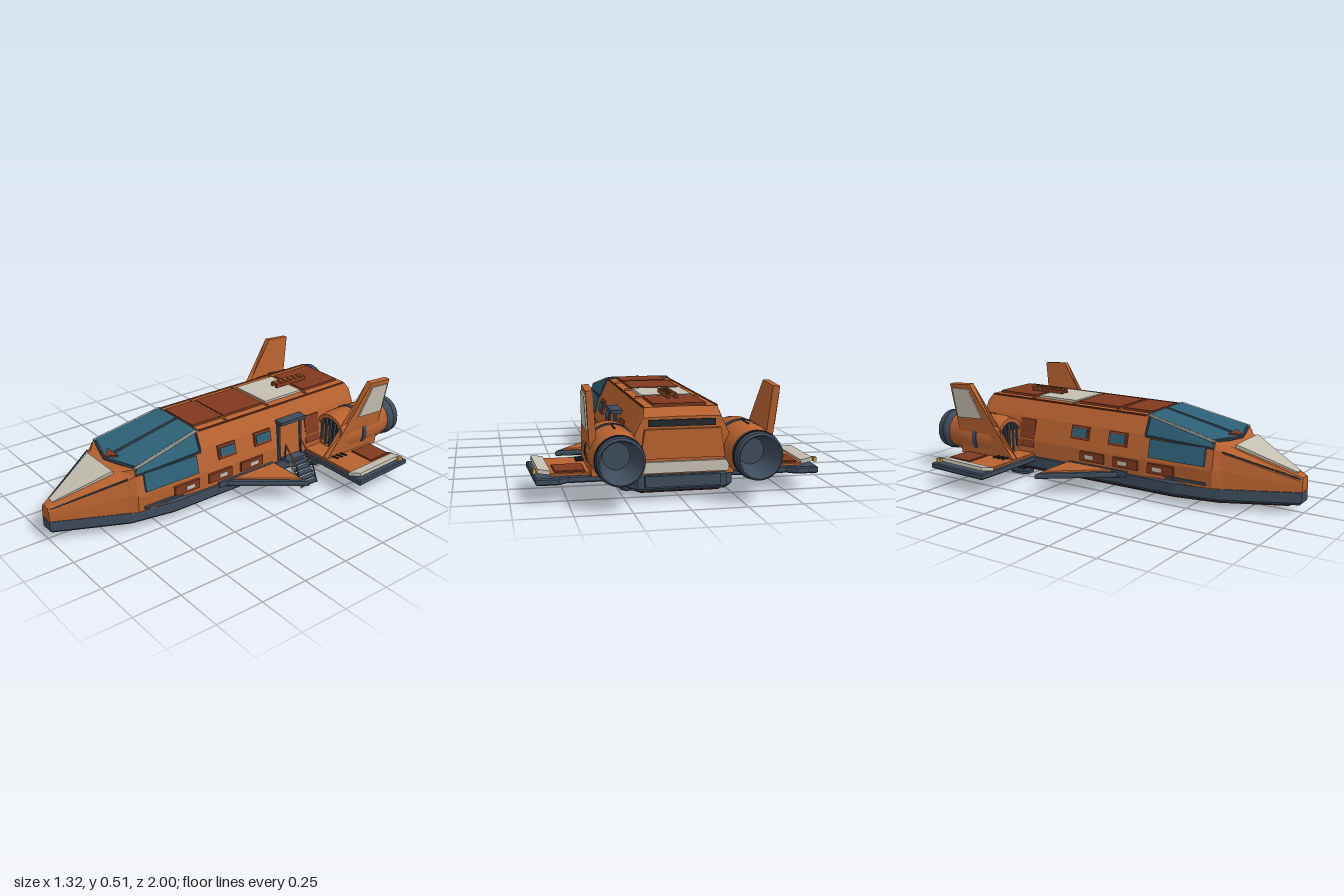
import * as THREE from 'three';
import { toCreasedNormals } from 'three/addons/utils/BufferGeometryUtils.js';

const material = (color, opts = {}) => new THREE.MeshStandardMaterial({ color, flatShading: true, ...opts });
const ORANGE = material(0xb8622f), RED = material(0x80391f), DARK = material(0x3d4b5b), GLASS = material(0x2c6075);
const CREAM = material(0xc4bfb2), BLACK = material(0x22282f), GOLD = material(0xcc9a40), BELLY = material(0x5e2817);
const V = (a) => new THREE.Vector3(...a);

export function createModel() {
  const root = new THREE.Group();
  const add = (name, geo, mat) => {
    const m = new THREE.Mesh(geo, mat);
    m.name = name;
    root.add(m);
    return m;
  };
  const box = (name, mat, [w, h, d], [x, y, z]) => add(name, new THREE.BoxGeometry(w, h, d).translate(x, y, z), mat);

  // Horizontal slab from a plan outline of [x, z] points
  const slab = (name, mat, pts, top, h, bevel = 0.006) => {
    const shape = new THREE.Shape(pts.map((p) => new THREE.Vector2(...p)));
    const geo = new THREE.ExtrudeGeometry(shape, {
      depth: h - 2 * bevel, bevelThickness: bevel, bevelSize: bevel, bevelOffset: -bevel, bevelSegments: 1,
    });
    add(name, geo.rotateX(Math.PI / 2).translate(0, top - bevel, 0), mat);
  };

  // Flat convex plate through 3D corners, its thickness centred on them
  const plate = (name, mat, corners, t = 0.012) => {
    const p = corners.map(V), n = new THREE.Vector3(), k = p.length, pos = [];
    p.forEach((a, i) => n.add(a.clone().cross(p[(i + 1) % k])));
    n.normalize().multiplyScalar(t / 2);
    const up = p.map((a) => a.clone().add(n)), dn = p.map((a) => a.clone().sub(n));
    const tri = (...vs) => vs.forEach((v) => pos.push(v.x, v.y, v.z));
    for (let i = 0; i < k; i++) {
      const j = (i + 1) % k;
      if (i > 0 && j > 0) { tri(up[0], up[i], up[j]); tri(dn[0], dn[j], dn[i]); }
      tri(dn[i], dn[j], up[j]); tri(dn[i], up[j], up[i]);
    }
    const geo = new THREE.BufferGeometry();
    geo.setAttribute('position', new THREE.Float32BufferAttribute(pos, 3));
    geo.computeVertexNormals();
    add(name, geo, mat);
  };

  // Round bar between two points
  const bar = (name, mat, a, b, r = 0.006) => {
    const p = V(a), q = V(b), d = q.clone().sub(p);
    const m = add(name, new THREE.CylinderGeometry(r, r, d.length(), 8), mat);
    m.position.copy(p).add(q).multiplyScalar(0.5);
    m.quaternion.setFromUnitVectors(new THREE.Vector3(0, 1, 0), d.normalize());
  };

  // Lathe along z from [radius, z] points
  const turned = (name, mat, pts, x, y) => {
    const geo = new THREE.LatheGeometry(pts.map((p) => new THREE.Vector2(...p)), 32).rotateX(Math.PI / 2);
    const m = mat.clone();
    m.flatShading = false;
    m.side = THREE.DoubleSide;
    add(name, toCreasedNormals(geo, 0.5).translate(x, y, 0), m);
  };
  const mirrored = (half) => [...half, ...half.map(([x, z]) => [-x, z]).reverse()];

  // Fuselage: half sections from sill to roof centre, lofted along z
  const main = [[0.235, 0.11], [0.235, 0.2], [0.205, 0.32], [0.165, 0.41], [0, 0.413]];
  const sections = [
    [-0.82, [[0.235, 0.11], [0.235, 0.2], [0.21, 0.3], [0.175, 0.37], [0, 0.373]]],
    [-0.79, main], [0.24, main],
    [0.62, [[0.22, 0.11], [0.225, 0.2], [0.205, 0.305], [0.19, 0.332], [0, 0.335]]],
    [0.66, [[0.195, 0.11], [0.195, 0.2], [0.185, 0.28], [0.14, 0.312], [0, 0.325]]],
    [1.0, [[0.035, 0.11], [0.035, 0.14], [0.033, 0.16], [0.025, 0.178], [0, 0.183]]],
  ].map(([z, half]) => [...half, ...half.slice(0, 4).reverse().map(([x, y]) => [-x, y])].map(([x, y]) => [x, y, z]));
  const pos = [], tri = (...ps) => ps.forEach((p) => pos.push(...p));
  for (let s = 0; s + 1 < sections.length; s++) {
    const a = sections[s], b = sections[s + 1];
    for (let i = 0; i < 8; i++) { tri(a[i], a[i + 1], b[i + 1]); tri(a[i], b[i + 1], b[i]); }
  }
  const first = sections[0], last = sections[sections.length - 1];
  for (let i = 1; i < 8; i++) { tri(first[0], first[i + 1], first[i]); tri(last[0], last[i], last[i + 1]); }
  const body = new THREE.BufferGeometry();
  body.setAttribute('position', new THREE.Float32BufferAttribute(pos, 3));
  body.computeVertexNormals();
  add('fuselage', body, ORANGE);

  // Lower hull, belly and landing feet
  slab('lowerHull', DARK, mirrored([[0.035, 1], [0.2, 0.65], [0.24, 0.42], [0.24, -0.78], [0.2, -0.83]]), 0.122, 0.08, 0.014);
  slab('belly', BELLY, mirrored([[0.025, 0.94], [0.17, 0.63], [0.21, 0.4], [0.21, -0.74], [0.18, -0.79]]), 0.05, 0.022);
  for (const [x, z] of [[0, 0.59], [0.2, -0.57], [-0.2, -0.57]]) {
    const foot = mirrored([[0.025, 0.065], [0.044, 0.035], [0.044, -0.035], [0.025, -0.065]]);
    slab('landingFoot', DARK, foot.map(([a, b]) => [a + x, b + z]), 0.018, 0.018, 0.004);
    box('footStrut', BLACK, [0.03, 0.04, 0.05], [x, 0.032, z]);
  }

  // Nose panel and windscreen centre
  plate('nosePanel', CREAM, [[-0.12, 0.311, 0.69], [0.12, 0.311, 0.69], [0.018, 0.194, 0.965], [-0.018, 0.194, 0.965]], 0.016);
  bar('windscreenPost', DARK, [0, 0.418, 0.24], [0, 0.332, 0.66], 0.008);
  bar('windscreenHeader', DARK, [-0.165, 0.412, 0.235], [0.165, 0.412, 0.235], 0.009);
  plate('noseBadge', RED, [[-0.05, 0.339, 0.615], [0.05, 0.339, 0.615], [0, 0.33, 0.66]], 0.02);

  // Roof panels, ribs and rack
  for (const [z0, z1, mat] of [[-0.77, -0.52, RED], [-0.5, -0.25, CREAM], [-0.23, 0.03, RED], [0.05, 0.225, RED]]) {
    box('roofPanel', mat, [0.24, 0.014, z1 - z0], [0, 0.416, (z0 + z1) / 2]);
  }
  for (const z of [-0.51, -0.24, 0.04]) box('roofSeam', ORANGE, [0.31, 0.012, 0.01], [0, 0.413, z]);
  for (const x of [-0.018, 0.018]) box('rackRail', RED, [0.014, 0.02, 0.21], [x, 0.433, -0.52]);
  for (let i = 0; i < 6; i++) box('rackRung', ORANGE, [0.05, 0.01, 0.014], [0, 0.44, -0.605 + i * 0.034]);

  // Rear bulkhead
  plate('rearPanel', ORANGE, [[-0.19, 0.19, -0.825], [0.19, 0.19, -0.825], [0.17, 0.32, -0.825], [-0.17, 0.32, -0.825]], 0.03);
  box('rearBand', CREAM, [0.42, 0.05, 0.03], [0, 0.15, -0.82]);
  box('rearVent', BLACK, [0.3, 0.03, 0.012], [0, 0.345, -0.821]);
  box('rearBumper', DARK, [0.34, 0.05, 0.03], [0, 0.09, -0.83]);

  // Parts repeated on both sides
  const sideX = (y) => (y < 0.2 ? 0.235 : 0.235 - 0.25 * (y - 0.2));
  for (const s of [1, -1]) {
    const sidePanel = (name, mat, z0, z1, y0, y1, t) => plate(name, mat,
      [[z0, y0], [z1, y0], [z1, y1], [z0, y1]].map(([z, y]) => [s * sideX(y), y, z]), t);
    const flip = (pts) => pts.map(([x, ...r]) => [s * x, ...r]);

    // Cockpit glass and frames
    plate('windscreen', GLASS, flip([[0.01, 0.414, 0.24], [0.16, 0.412, 0.24], [0.185, 0.337, 0.605], [0.01, 0.327, 0.655]]));
    plate('quarterGlass', GLASS, flip([[0.165, 0.41, 0.25], [0.19, 0.332, 0.615], [0.204, 0.307, 0.615], [0.205, 0.32, 0.25]]));
    sidePanel('sideGlass', GLASS, 0.27, 0.58, 0.215, 0.305, 0.014);
    bar('windscreenEdge', CREAM, [s * 0.166, 0.412, 0.24], [s * 0.191, 0.334, 0.615], 0.008);
    bar('windscreenSill', DARK, [s * 0.2, 0.33, 0.605], [0, 0.328, 0.665], 0.008);
    bar('glassRail', DARK, [s * 0.207, 0.315, 0.24], [s * 0.207, 0.306, 0.62]);
    bar('rearGlassPost', DARK, [s * 0.207, 0.32, 0.24], [s * 0.166, 0.412, 0.24]);
    bar('roofRail', RED, [s * 0.166, 0.41, -0.78], [s * 0.166, 0.41, 0.22], 0.005);
    bar('noseEdge', DARK, [s * 0.19, 0.29, 0.655], [s * 0.03, 0.172, 0.99], 0.004);

    // Side windows, lower panels and vents
    for (const z of [0.085, -0.15]) {
      sidePanel('windowFrame', RED, z - 0.055, z + 0.055, 0.245, 0.315, 0.02);
      sidePanel('sideWindow', GLASS, z - 0.045, z + 0.045, 0.258, 0.302, 0.03);
    }
    for (const z of [0.345, 0.14, -0.065]) {
      sidePanel('lowerPanel', RED, z - 0.073, z + 0.073, 0.14, 0.19, 0.022);
      sidePanel('panelTag', CREAM, z - 0.04, z + 0.01, 0.155, 0.175, 0.026);
    }
    box('hullFender', DARK, [0.02, 0.03, 0.36], [s * 0.24, 0.11, -0.03]);
    box('cheekTrim', DARK, [0.012, 0.012, 0.22], [s * 0.233, 0.132, 0.48]);
    sidePanel('rearSidePanel', RED, -0.55, -0.45, 0.16, 0.31, 0.014);

    // Forward winglet
    slab('winglet', DARK, flip([[0.2, -0.23], [0.505, -0.23], [0.22, 0.14]]), 0.115, 0.026);
    slab('wingletSkin', ORANGE, flip([[0.2, -0.215], [0.465, -0.215], [0.22, 0.1]]), 0.123, 0.02, 0.003);

    // Rear wing platform
    slab('rearWing', DARK, flip([[0.2, -0.44], [0.66, -0.44], [0.64, -0.81], [0.54, -0.81], [0.5, -0.78], [0.2, -0.78]]), 0.118, 0.032);
    slab('rearWingDeck', ORANGE, flip([[0.2, -0.45], [0.6, -0.45], [0.575, -0.77], [0.2, -0.77]]), 0.13, 0.02, 0.003);
    slab('rearWingPanel', RED, flip([[0.42, -0.62], [0.56, -0.62], [0.555, -0.76], [0.42, -0.76]]), 0.138, 0.02, 0.003);
    plate('rearWingTip', CREAM, flip([[0.585, 0.128, -0.43], [0.64, 0.138, -0.46], [0.63, 0.142, -0.765], [0.575, 0.132, -0.765]]), 0.018);
    for (const z of [-0.5, -0.53, -0.56]) bar('deckRung', BLACK, [s * 0.36, 0.137, z + 0.02], [s * 0.44, 0.137, z], 0.005);
    box('wingLamp', GOLD, [0.015, 0.02, 0.03], [s * 0.642, 0.14, -0.75]);

    // Canted tail fin
    const fin = (pts, off) => pts.map(([y, z]) => [s * (0.385 + 0.075 * (y - 0.12) + off), y, z]);
    plate('tailFin', ORANGE, fin([[0.12, -0.45], [0.24, -0.58], [0.51, -0.72], [0.5, -0.86], [0.22, -0.82], [0.12, -0.82]], 0), 0.032);
    plate('finPanel', CREAM, fin([[0.33, -0.65], [0.485, -0.73], [0.477, -0.842], [0.32, -0.82]], 0.016), 0.014);

    // Engine with nozzle, intake grille and pylon
    const ex = s * 0.3, ey = 0.215;
    turned('engineBody', ORANGE, [[0.094, -0.925], [0.106, -0.87], [0.115, -0.8], [0.115, -0.62], [0.105, -0.56], [0.085, -0.56], [0.08, -0.6], [0, -0.6]], ex, ey);
    turned('engineNozzle', DARK, [[0, -0.86], [0.06, -0.86], [0.088, -0.99], [0.095, -1], [0.104, -0.99], [0.107, -0.93], [0.098, -0.915]], ex, ey);
    turned('nozzleRing', BLACK, [[0.109, -0.95], [0.109, -0.96], [0.1, -0.96]], ex, ey);
    turned('engineBand', DARK, [[0.11, -0.73], [0.119, -0.728], [0.119, -0.702], [0.11, -0.7]], ex, ey);
    add('intakeBack', new THREE.CircleGeometry(0.084, 32).translate(ex, ey, -0.575), BLACK);
    for (let i = -2; i <= 2; i++) {
      box('intakeBar', DARK, [0.01, 2 * Math.sqrt(0.0072 - (i * 0.03) ** 2), 0.012], [ex + i * 0.03, ey, -0.568]);
    }
    for (const a of [0.5, 1.57, 2.64]) {
      box('engineSlot', BLACK, [0.008, 0.008, 0.08], [ex + 0.113 * Math.cos(a), ey + 0.113 * Math.sin(a), -0.78]);
    }
    box('enginePylon', ORANGE, [0.12, 0.1, 0.24], [s * 0.24, 0.2, -0.69]);
  }

  // Boarding door and canopy on the left side
  plate('doorway', ORANGE, [[0.236, 0.13, -0.26], [0.236, 0.13, -0.4], [0.216, 0.325, -0.4], [0.216, 0.325, -0.26]], 0.02);
  for (const z of [-0.255, -0.405]) bar('doorFrame', DARK, [0.242, 0.125, z], [0.226, 0.33, z], 0.01);
  box('doorCanopy', DARK, [0.055, 0.018, 0.17], [0.225, 0.333, -0.34]);
  box('doorStep', DARK, [0.07, 0.016, 0.13], [0.265, 0.128, -0.335]);

  // Folding stairs
  for (let i = 0; i < 5; i++) box('stairTread', DARK, [0.03, 0.008, 0.11], [0.31 + i * 0.02, 0.108 - i * 0.021, -0.335]);
  for (const z of [-0.28, -0.39]) {
    bar('stairStringer', CREAM, [0.29, 0.125, z], [0.4, 0.014, z], 0.005);
    bar('handRail', ORANGE, [0.26, 0.215, z], [0.35, 0.125, z], 0.004);
    bar('handRailPost', DARK, [0.35, 0.125, z], [0.395, 0.02, z], 0.004);
    bar('handRailBrace', DARK, [0.262, 0.215, z], [0.262, 0.13, z], 0.004);
  }
  return root;
}
